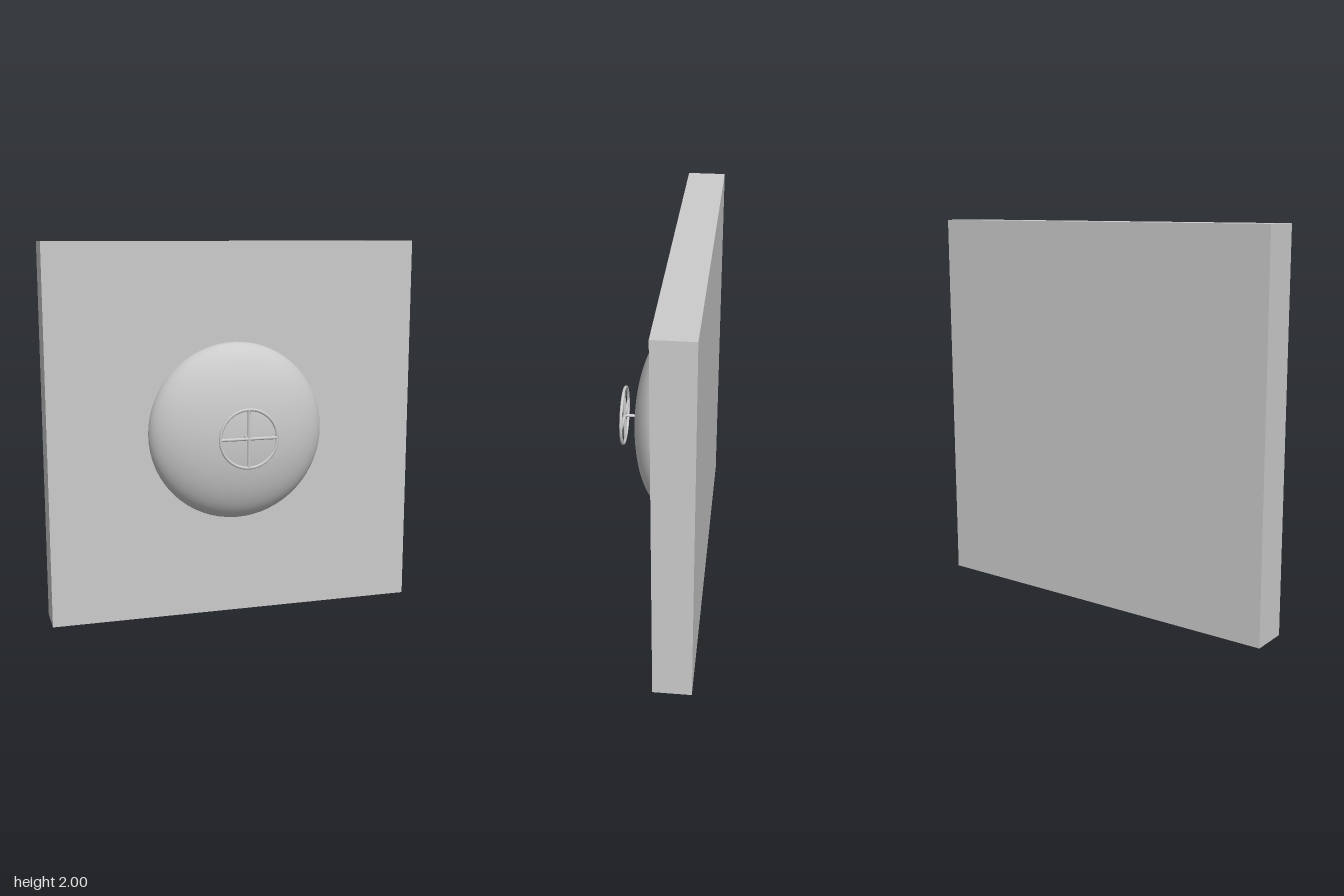
import * as THREE from 'three';

const material = new THREE.MeshStandardMaterial({ color: 0xcccccc });

export function createModel() {
  const model = new THREE.Group();
  const add = (name, geometry, x, y, z, parent = model) => {
    const mesh = new THREE.Mesh(geometry, material);
    mesh.name = name;
    mesh.position.set(x, y, z);
    parent.add(mesh);
    return mesh;
  };

  // Square wall panel
  add('wallPanel', new THREE.BoxGeometry(2, 2, 0.2), 0, 1, -0.13);

  // Flattened half-sphere bulging from the panel, pole towards the front
  const dome = new THREE.SphereGeometry(0.475, 64, 24, 0, Math.PI * 2, 0, Math.PI / 2);
  dome.rotateX(Math.PI / 2).scale(1, 1, 0.4);
  add('dome', dome, 0, 1.003, -0.03);

  // Handwheel on a short stem
  const wheel = new THREE.Group();
  wheel.name = 'handwheel';
  wheel.position.set(0, 1.003, 0.222);
  model.add(wheel);

  add('wheelRim', new THREE.TorusGeometry(0.152, 0.008, 12, 64), 0, 0, 0, wheel);
  for (const angle of [0, Math.PI / 2]) {
    const spoke = add('wheelSpoke', new THREE.CylinderGeometry(0.008, 0.008, 0.304, 16), 0, 0, 0, wheel);
    spoke.rotation.z = angle;
  }
  const stem = new THREE.CylinderGeometry(0.008, 0.008, 0.09, 16).rotateX(Math.PI / 2);
  add('wheelStem', stem, 0, 0, -0.045, wheel);

  return model;
}
